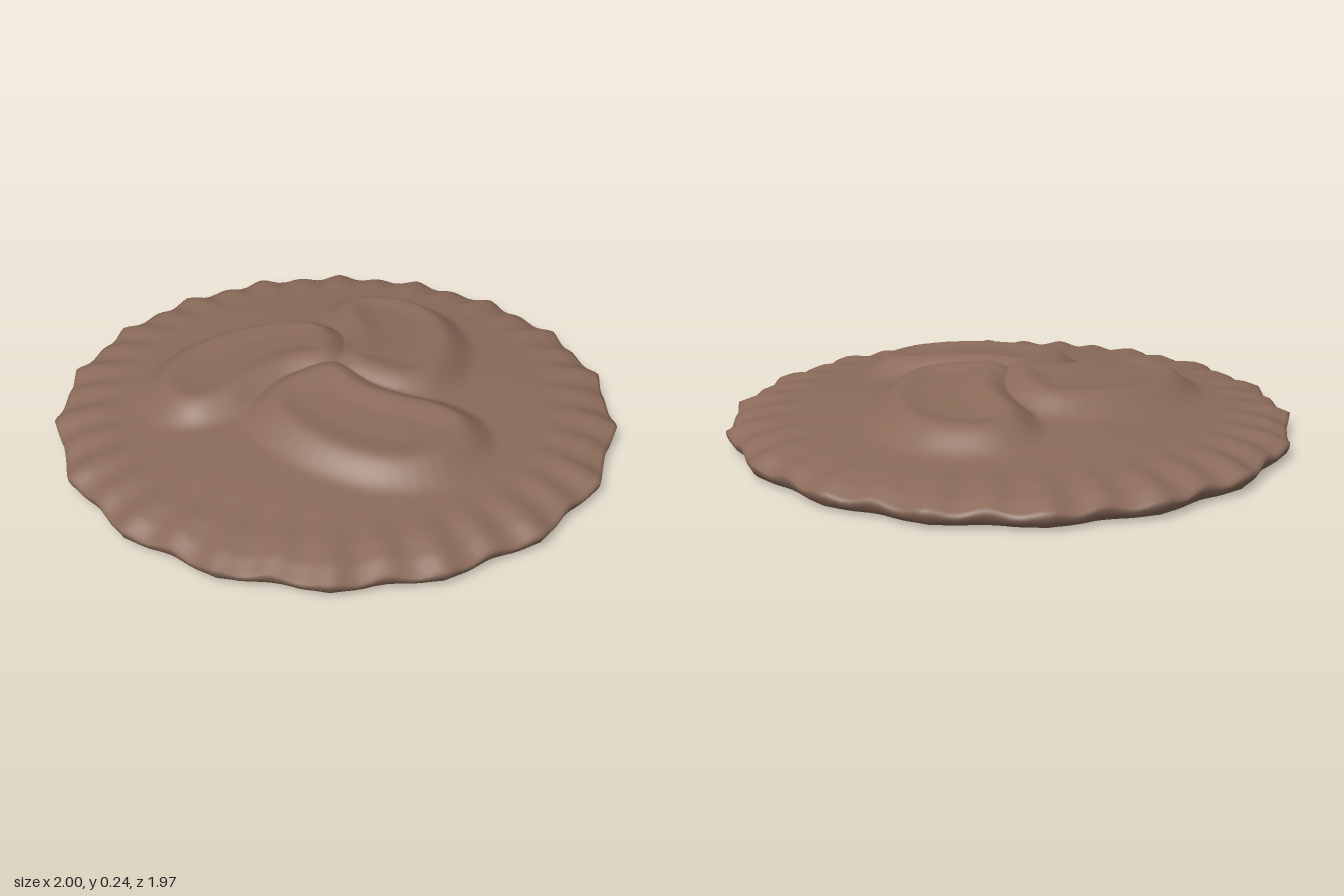
import * as THREE from 'three';

const SEGMENTS = 252;
const TOP_RINGS = 76;
const { smoothstep, lerp } = THREE.MathUtils;

// Comma-shaped outline of one swirl arm, as (x, z)
const armOutline = new THREE.SplineCurve([
  [0, 0], [-0.12, -0.01], [-0.25, 0.01], [-0.34, 0.1], [-0.34, 0.25], [-0.27, 0.43], [-0.14, 0.58],
  [0.03, 0.64], [0.19, 0.59], [0.25, 0.48], [0.2, 0.36], [0.11, 0.27], [0.03, 0.16], [0, 0],
].map(([x, z]) => new THREE.Vector2(x, z))).getPoints(52);

// Height of the plate without the arms, as (radius, y)
const plateProfile = [
  [0, 0.2], [0.12, 0.178], [0.3, 0.152], [0.5, 0.133], [0.65, 0.116], [0.76, 0.102],
  [0.86, 0.094], [0.94, 0.079], [1, 0.055],
];

function plateHeight(r) {
  let k = 1;
  while (k < plateProfile.length - 1 && r > plateProfile[k][0]) k++;
  const [r0, y0] = plateProfile[k - 1];
  const [r1, y1] = plateProfile[k];
  return lerp(y0, y1, (r - r0) / (r1 - r0));
}

// Signed distance to the arm outline, positive inside
function armDistance(x, z) {
  let nearest = Infinity;
  let inside = false;
  for (let i = 1; i < armOutline.length; i++) {
    const a = armOutline[i - 1];
    const b = armOutline[i];
    const dx = b.x - a.x;
    const dz = b.y - a.y;
    const t = THREE.MathUtils.clamp(((x - a.x) * dx + (z - a.y) * dz) / (dx * dx + dz * dz || 1), 0, 1);
    nearest = Math.min(nearest, Math.hypot(x - a.x - t * dx, z - a.y - t * dz));
    if ((a.y > z) !== (b.y > z) && x < a.x + (z - a.y) * dx / dz) inside = !inside;
  }
  return inside ? nearest : -nearest;
}

// Plate, plus crimped rim, plus three raised arms with slightly dished tops
function topHeight(r, angle) {
  const ripple = 0.008 * smoothstep(r, 0.7, 0.95) * Math.cos(36 * angle);
  const base = plateHeight(r) + ripple;
  if (r > 0.78) return base;
  let distance = -Infinity;
  for (let k = 0; k < 3; k++) {
    const turned = angle + k * Math.PI * 2 / 3;
    distance = Math.max(distance, armDistance(r * Math.cos(turned), r * Math.sin(turned)));
  }
  const dish = 0.016 * smoothstep(distance, 0.04, 0.15);
  const crest = 0.243 - 0.103 * r - dish;
  const raise = smoothstep(distance, -0.08, 0.055);
  return lerp(base, crest, raise * (r < 0.06 ? 0.6 + r * 6.6 : 1));
}

// Scalloped edge with eighteen shallow lobes, sharper at their tips
const edgeScale = (angle) => 0.973 + 0.027 * (1 - Math.abs(Math.sin(9 * angle))) ** 0.9;

function discGeometry() {
  const positions = [];
  const indices = [];
  // Rings run from the centre over the top, round the rim and back underneath
  const under = [[0.998, 0.04], [0.99, 0.024], [0.975, 0.01], [0.955, 0.002], [0.93, 0], [0.5, 0]];
  const ringCount = TOP_RINGS + under.length;
  for (let j = 0; j < ringCount; j++) {
    for (let i = 0; i < SEGMENTS; i++) {
      const angle = i / SEGMENTS * Math.PI * 2;
      const onTop = j < TOP_RINGS;
      const r = onTop ? (j + 1) / TOP_RINGS : under[j - TOP_RINGS][0];
      const scallop = lerp(1, edgeScale(angle), smoothstep(r, 0.7, 1));
      let y = onTop ? topHeight(r, angle) : under[j - TOP_RINGS][1];
      if (!onTop) y += 0.15 * y * Math.cos(36 * angle);
      positions.push(r * scallop * Math.cos(angle), y, r * scallop * Math.sin(angle));
    }
  }
  const topCentre = ringCount * SEGMENTS;
  positions.push(0, 0.217, 0, 0, 0, 0);
  for (let i = 0; i < SEGMENTS; i++) {
    const n = (i + 1) % SEGMENTS;
    const last = (ringCount - 1) * SEGMENTS;
    indices.push(topCentre, n, i, topCentre + 1, last + i, last + n);
    for (let j = 0; j < ringCount - 1; j++) {
      const a = j * SEGMENTS;
      const b = a + SEGMENTS;
      indices.push(a + i, b + n, b + i, a + i, a + n, b + n);
    }
  }
  const geometry = new THREE.BufferGeometry();
  geometry.setAttribute('position', new THREE.Float32BufferAttribute(positions, 3));
  geometry.setIndex(indices);
  geometry.computeVertexNormals();
  return geometry;
}

export function createModel() {
  const group = new THREE.Group();
  group.name = 'swirledDisc';
  const brown = new THREE.MeshStandardMaterial({ color: 0x8b6b5a });
  brown.name = 'warm brown';
  const disc = new THREE.Mesh(discGeometry(), brown);
  disc.name = 'discWithSwirlRelief';
  group.add(disc);
  return group;
}
